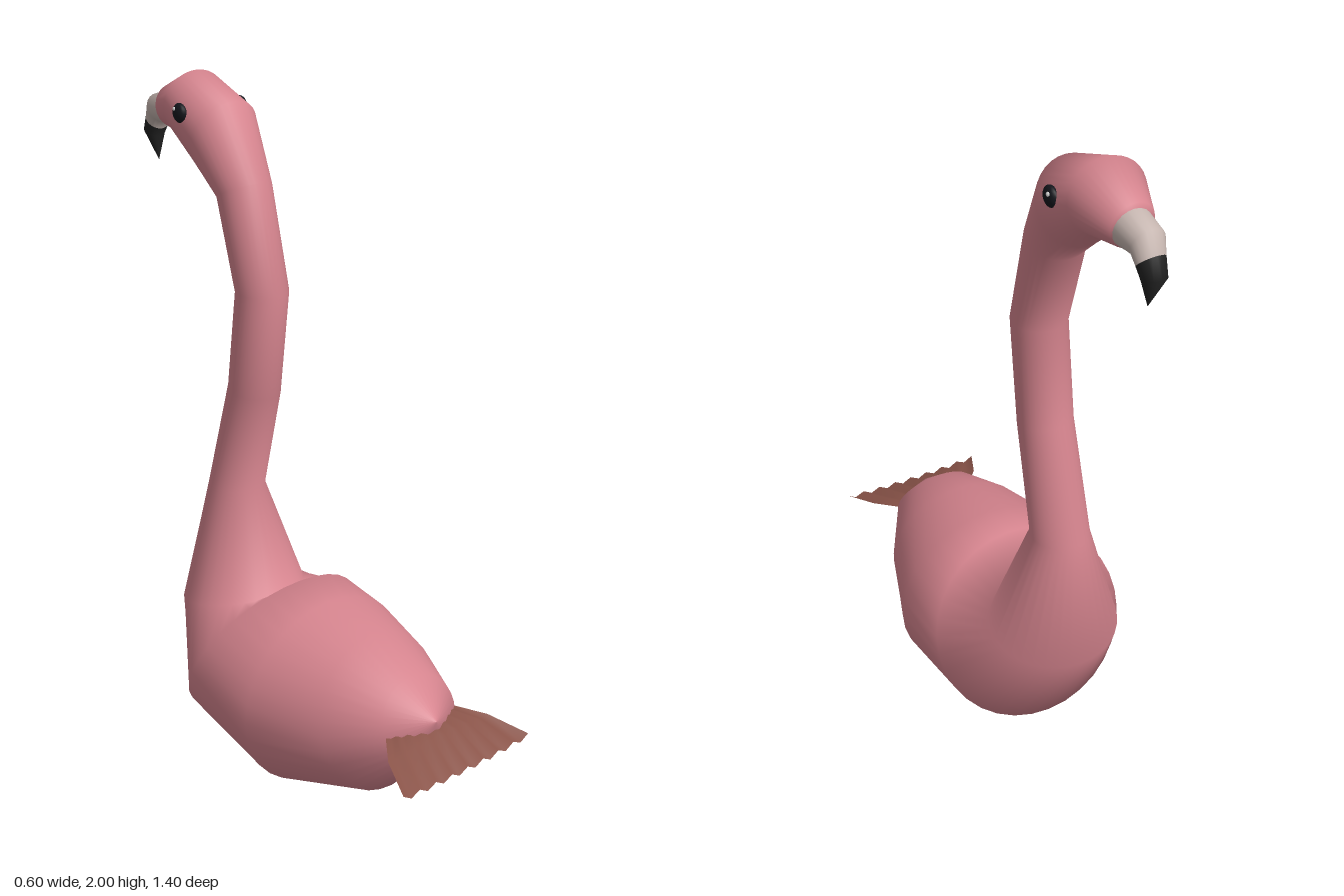
import * as THREE from 'three';

const mat = (color, side = THREE.FrontSide) =>
  new THREE.MeshStandardMaterial({ color, side });

// Skin over elliptical rings, each given as [zTop, yTop, zBottom, yBottom, halfWidth].
function loft(rings, sides) {
  const pos = [], idx = [];
  for (const [zt, yt, zb, yb, w] of rings) {
    for (let j = 0; j < sides; j++) {
      const a = (j / sides) * Math.PI * 2, c = Math.cos(a), s = Math.sin(a);
      pos.push(c * w, (yt + yb) / 2 + (s * (yt - yb)) / 2, (zt + zb) / 2 + (s * (zt - zb)) / 2);
    }
  }
  for (let i = 0; i < rings.length - 1; i++) {
    for (let j = 0; j < sides; j++) {
      const k = (j + 1) % sides;
      const a = i * sides + j, b = i * sides + k;
      const c = a + sides, d = b + sides;
      idx.push(a, c, b, b, c, d);
    }
  }
  return finish(pos, idx);
}

function finish(pos, idx) {
  const g = new THREE.BufferGeometry();
  g.setAttribute('position', new THREE.Float32BufferAttribute(pos, 3));
  g.setIndex(idx);
  g.computeVertexNormals();
  return g;
}

// Arched fan of feathers with a pleated rim.
function tailFan() {
  const rows = [
    // z, half width, height at middle, droop at sides, pleat depth
    [0.46, 0.11, 0.38, 0.01, 0],
    [0.52, 0.13, 0.38, 0.01, 0.002],
    [0.59, 0.185, 0.365, 0.012, 0.005],
    [0.70, 0.232, 0.315, -0.008, 0.008],
  ];
  const cols = 16, pos = [], idx = [];
  for (const [z, w, y, droop, pleat] of rows) {
    for (let j = 0; j <= cols; j++) {
      const u = (j / cols) * 2 - 1;
      pos.push(u * w, y - droop * u * u + (j % 2 ? -pleat : pleat), z);
    }
  }
  for (let i = 0; i < rows.length - 1; i++) {
    for (let j = 0; j < cols; j++) {
      const a = i * (cols + 1) + j, c = a + cols + 1;
      idx.push(a, c, a + 1, a + 1, c, c + 1);
    }
  }
  return finish(pos, idx);
}

export function createModel() {
  const model = new THREE.Group();
  const add = (name, geometry, material) => {
    const mesh = new THREE.Mesh(geometry, material);
    mesh.name = name;
    model.add(mesh);
    return mesh;
  };

  // One continuous skin: rump, body, chest, curved neck and head
  add('bodyNeckAndHead', loft([
    [0.578, 0.40, 0.578, 0.40, 0],
    [0.47, 0.49, 0.555, 0.28, 0.13],
    [0.31, 0.55, 0.41, 0.11, 0.22],
    [0.13, 0.58, 0.12, 0.005, 0.30],
    [0.00, 0.595, -0.26, 0.09, 0.30],
    [-0.10, 0.51, -0.44, 0.44, 0.19],
    [-0.21, 0.81, -0.38, 0.82, 0.082],
    [-0.13, 1.12, -0.28, 1.15, 0.076],
    [-0.09, 1.43, -0.24, 1.43, 0.076],
    [-0.17, 1.73, -0.31, 1.67, 0.08],
    [-0.28, 1.935, -0.39, 1.745, 0.108],
    [-0.45, 2.00, -0.48, 1.82, 0.105],
    [-0.58, 1.945, -0.565, 1.828, 0.058],
    [-0.575, 1.885, -0.575, 1.885, 0],
  ], 32), mat(0xd5848e));

  // Hooked beak: pale base and dark tip sharing a ring
  const joint = [-0.675, 1.86, -0.63, 1.813, 0.037];
  add('beakBase', loft([
    [-0.56, 1.935, -0.555, 1.83, 0.053],
    [-0.65, 1.912, -0.62, 1.835, 0.045],
    joint,
  ], 20), mat(0xc4b4ae));
  add('beakTip', loft([
    joint,
    [-0.70, 1.81, -0.64, 1.79, 0.03],
    [-0.65, 1.72, -0.65, 1.72, 0],
  ], 20), mat(0x222222));

  // Eyes with a small glint
  for (const side of [-1, 1]) {
    const name = side > 0 ? 'left' : 'right';
    const eye = add(name + 'Eye', new THREE.SphereGeometry(0.027, 16, 12), mat(0x14161c));
    eye.position.set(side * 0.103, 1.90, -0.39);
    eye.scale.x = 0.55;
    const glint = add(name + 'EyeGlint', new THREE.SphereGeometry(0.006, 8, 6), mat(0xffffff));
    glint.position.set(side * 0.114, 1.911, -0.398);
  }

  add('tailFeathers', tailFan(), mat(0x8a5449, THREE.DoubleSide));

  return model;
}
